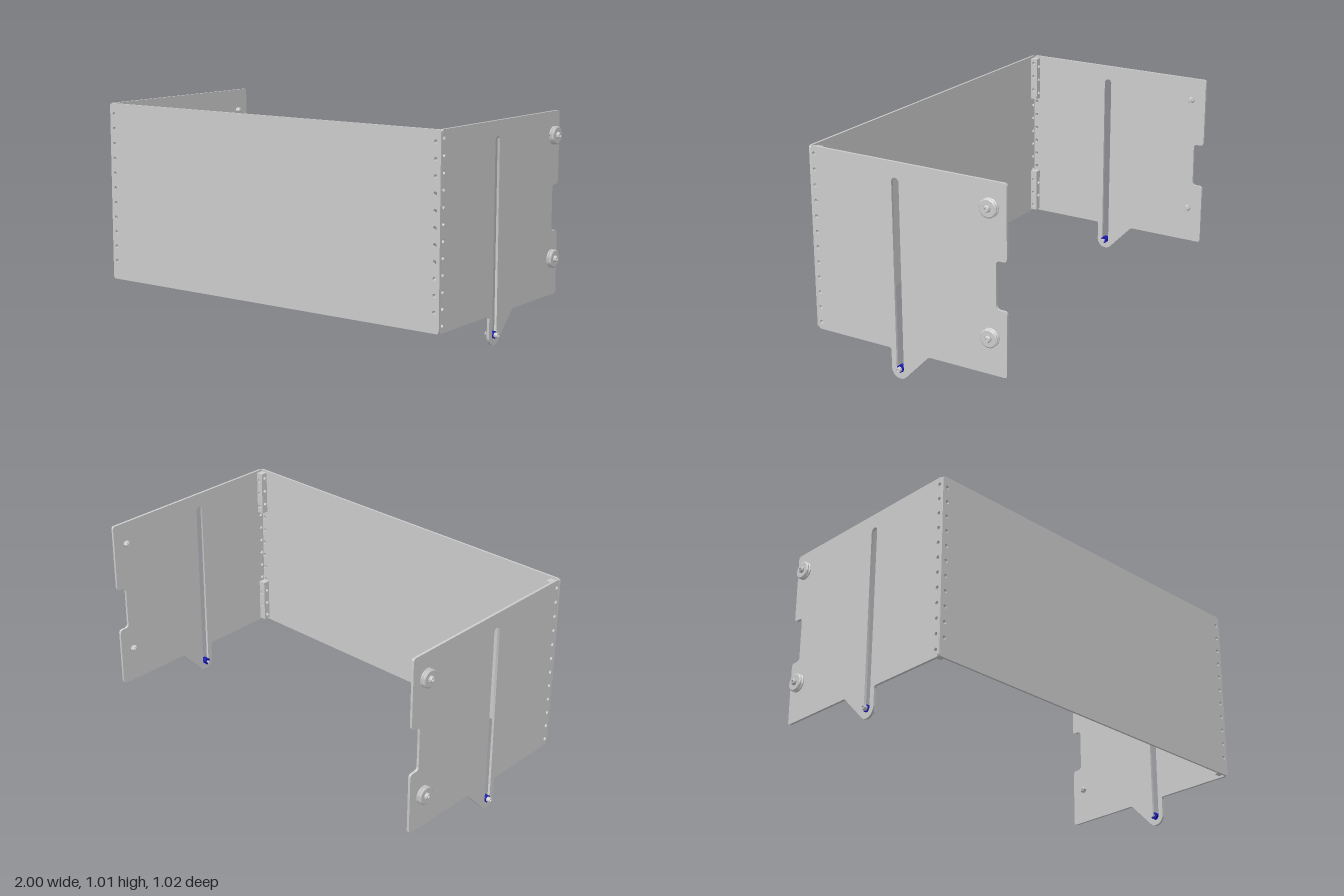
import * as THREE from 'three';
import { toCreasedNormals } from 'three/addons/utils/BufferGeometryUtils.js';

const grey = new THREE.MeshStandardMaterial({ color: 0xcccccc });
const thin = new THREE.MeshStandardMaterial({ color: 0xcccccc, side: THREE.DoubleSide });
const blue = new THREE.MeshStandardMaterial({ color: 0x1818b0 });

const PITCH = 0.0727, HOLE = 0.009;
const sideHoles = Array.from({ length: 12 }, (_, i) => 0.175 + i * PITCH);
const frontHoles = Array.from({ length: 11 }, (_, i) => 0.231 + i * PITCH);

function add(parent, name, geometry, material = grey) {
  const mesh = new THREE.Mesh(geometry, material);
  mesh.name = name;
  parent.add(mesh);
  return mesh;
}

// Closed outline from [x, y, cornerRadius] points
function roundedShape(points) {
  const shape = new THREE.Shape();
  const n = points.length;
  points.forEach(([x, y, r = 0], i) => {
    const p = new THREE.Vector2(x, y);
    const toward = ([a, b]) => new THREE.Vector2(a, b).sub(p).setLength(r).add(p);
    const a = toward(points[(i + n - 1) % n]);
    const b = toward(points[(i + 1) % n]);
    if (i === 0) shape.moveTo(a.x, a.y);
    else shape.lineTo(a.x, a.y);
    if (r > 0) shape.quadraticCurveTo(x, y, b.x, b.y);
  });
  shape.closePath();
  return shape;
}

function punch(shape, x, y) {
  const hole = new THREE.Path();
  hole.absarc(x, y, HOLE, 0, Math.PI * 2, true);
  shape.holes.push(hole);
}

function plateGeometry(shape, depth) {
  const g = new THREE.ExtrudeGeometry(shape, { depth, bevelEnabled: false, curveSegments: 10 });
  return toCreasedNormals(g.translate(0, 0, -depth / 2), 0.6);
}

// Turned part whose axis points outward along x; profile is [radius, distance from centre]
function turned(parent, name, s, y, z, profile, material = grey, sides = 32) {
  const pts = profile.map(([r, x]) => new THREE.Vector2(r, x));
  const mesh = add(parent, name, toCreasedNormals(new THREE.LatheGeometry(pts, sides), 0.5), material);
  mesh.rotation.z = -s * Math.PI / 2;
  mesh.position.set(0, y, z);
}

// Side plate drawn with horizontal axis u = -z
function sidePlateGeometry() {
  const tip = [];
  for (let i = 0; i <= 12; i++) {
    const a = Math.PI + (i / 12) * Math.PI * 0.75;
    tip.push([-0.05 + 0.045 * Math.cos(a), 0.045 + 0.045 * Math.sin(a)]);
  }
  const shape = roundedShape([
    [-0.498, 0.14, 0.012], [-0.095, 0.14, 0.012], ...tip, [0.105, 0.14, 0.01],
    [0.508, 0.14, 0.015], [0.508, 0.445, 0.018], [0.455, 0.445, 0.02],
    [0.455, 0.665, 0.02], [0.508, 0.665, 0.018], [0.508, 1.01, 0.015], [-0.498, 1.01, 0.012],
  ]);
  const slot = new THREE.Path();
  slot.absarc(-0.05, 0.92, 0.019, 0, Math.PI, false);
  slot.absarc(-0.05, 0.047, 0.019, Math.PI, Math.PI * 2, false);
  slot.closePath();
  shape.holes.push(slot);
  sideHoles.forEach((y) => punch(shape, -0.483, y));
  return plateGeometry(shape, 0.012).rotateY(Math.PI / 2);
}

// Square corner block with crossed bores along x and z
function cornerBlock(s, y0, y1) {
  const block = new THREE.Group();
  block.name = 'cornerBlock';
  const w = 0.035, cx = s * 0.9255, cz = 0.4805;
  const within = (y) => y > y0 + HOLE && y < y1 - HOLE;
  const wall = (u0, u, ys) => {
    const shape = roundedShape([[u0 - w / 2, y0], [u0 + w / 2, y0], [u0 + w / 2, y1], [u0 - w / 2, y1]]);
    ys.forEach((y) => punch(shape, u, y));
    return new THREE.ShapeGeometry(shape, 8);
  };
  const bore = () => new THREE.CylinderGeometry(HOLE, HOLE, w, 16, 1, true);
  const xs = sideHoles.filter(within), zs = frontHoles.filter(within);
  for (const e of [-1, 1]) {
    add(block, 'blockSide', wall(-cz, -0.483, xs).rotateY(Math.PI / 2), thin).position.x = cx + e * w / 2;
    add(block, 'blockFace', wall(cx, s * 0.93, zs), thin).position.z = cz + e * w / 2;
    add(block, 'blockCap', new THREE.PlaneGeometry(w, w).rotateX(-e * Math.PI / 2))
      .position.set(cx, e > 0 ? y1 : y0, cz);
  }
  xs.forEach((y) => add(block, 'crossBore', bore().rotateZ(Math.PI / 2), thin).position.set(cx, y, 0.483));
  zs.forEach((y) => add(block, 'frontBore', bore().rotateX(Math.PI / 2), thin).position.set(s * 0.93, y, cz));
  return block;
}

// Grooved roller with spacer, socket bolt and inner nut
function roller(s, y) {
  const g = new THREE.Group();
  g.name = 'roller';
  const z = -0.435;
  turned(g, 'rollerSpacer', s, y, z, [[0, 0.955], [0.022, 0.955], [0.022, 0.965], [0, 0.965]], blue);
  turned(g, 'rollerWheel', s, y, z, [
    [0, 0.963], [0.036, 0.963], [0.043, 0.967], [0.043, 0.971], [0.036, 0.976],
    [0.043, 0.981], [0.043, 0.985], [0.037, 0.989], [0.018, 0.989], [0.018, 0.986], [0, 0.986],
  ]);
  turned(g, 'rollerBolt', s, y, z, [
    [0, 0.918], [0.008, 0.918], [0.008, 0.986], [0.015, 0.986], [0.015, 0.994],
    [0.011, 1], [0.007, 1], [0.007, 0.993], [0, 0.993],
  ]);
  turned(g, 'rollerNut', s, y, z, [[0, 0.923], [0.013, 0.923], [0.016, 0.927], [0.016, 0.943], [0, 0.943]], grey, 6);
  return g;
}

// Bolt at the foot of the slot
function slotBolt(s) {
  const g = new THREE.Group();
  g.name = 'slotBolt';
  const y = 0.047, z = 0.05;
  turned(g, 'slotBushing', s, y, z, [[0, 0.93], [0.017, 0.93], [0.017, 0.958], [0, 0.958]], blue);
  turned(g, 'boltHead', s, y, z, [
    [0, 0.957], [0.012, 0.957], [0.012, 0.974], [0.011, 0.976], [0.006, 0.976], [0.006, 0.966], [0, 0.966],
  ]);
  turned(g, 'boltShank', s, y, z, [[0, 0.912], [0.006, 0.912], [0.006, 0.957], [0, 0.957]]);
  turned(g, 'boltNut', s, y, z, [[0, 0.912], [0.011, 0.912], [0.011, 0.916], [0, 0.916]]);
  return g;
}

export function createModel() {
  const model = new THREE.Group();
  model.name = 'threeSidedPanelFrame';

  // Front panel with a hole column along each edge
  const front = roundedShape([
    [-0.955, 0.14, 0.015], [0.955, 0.14, 0.015], [0.955, 1.01, 0.015], [-0.955, 1.01, 0.015],
  ]);
  for (const s of [-1, 1]) frontHoles.forEach((y) => punch(front, s * 0.93, y));
  add(model, 'frontPanel', plateGeometry(front, 0.01)).position.z = 0.503;

  // Left and right sides
  const plate = sidePlateGeometry();
  for (const s of [1, -1]) {
    const side = new THREE.Group();
    side.name = s > 0 ? 'leftSide' : 'rightSide';
    add(side, 'sidePlate', plate).position.x = s * 0.949;
    side.add(cornerBlock(s, 0.15, 0.37), cornerBlock(s, 0.78, 1.0));
    side.add(roller(s, 0.9), roller(s, 0.32), slotBolt(s));
    model.add(side);
  }
  return model;
}
